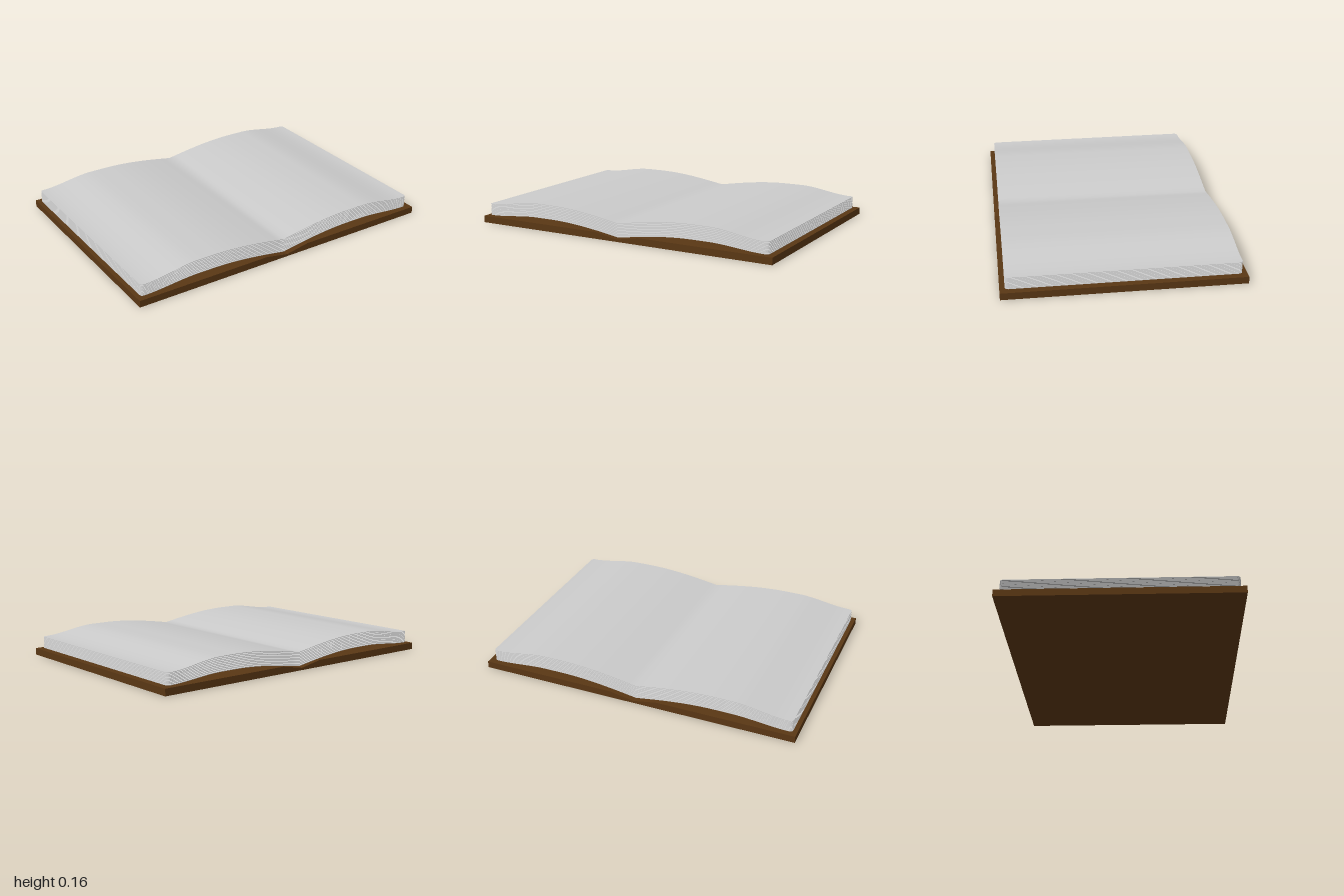
import * as THREE from 'three';

const SHEETS = 10, HALF_W = 0.97, HALF_D = 0.675, THICK = 0.003, CORNER = 0.02;

// Height of a sheet at distance a from the gutter; k = 0 lowest, 1 topmost
function pageHeight(a, k) {
  const lerp = THREE.MathUtils.lerp;
  const gutter = lerp(0.021, 0.104, k);
  const crown = lerp(0.073, 0.159, k);
  const edge = lerp(0.049, 0.118, k);
  if (a < 0.5) return gutter + (crown - gutter) * Math.sin(Math.PI * a);
  return lerp(crown, edge, THREE.MathUtils.smoothstep(a, 0.6, 0.95));
}

// Thin slab bent along x, with rounded outer corners
function sheetGeometry(k) {
  const geo = new THREE.BoxGeometry(2, THICK, 2 * HALF_D, 64, 1, 1);
  const p = geo.attributes.position;
  for (let i = 0; i < p.count; i++) {
    // columns crowd towards the fore-edge, where the corners curve
    const x = HALF_W * Math.sin(p.getX(i) * Math.PI / 2);
    const inset = Math.max(0, CORNER - (HALF_W - Math.abs(x)));
    const cut = CORNER - Math.sqrt(Math.max(0, CORNER * CORNER - inset * inset));
    p.setXYZ(i, x, p.getY(i) + pageHeight(Math.abs(x), k) - THICK / 2,
      Math.sign(p.getZ(i)) * (HALF_D - cut));
  }
  geo.computeVertexNormals();
  return geo;
}

export function createModel() {
  const book = new THREE.Group();
  book.name = 'openBook';

  // Flat cover with a shallow valley along the spine
  const profile = new THREE.Shape([
    [-1, 0], [1, 0], [1, 0.042], [0.15, 0.042], [0, 0.014], [-0.15, 0.042], [-1, 0.042],
  ].map(([x, y]) => new THREE.Vector2(x, y)));
  const coverGeo = new THREE.ExtrudeGeometry(profile, { depth: 1.41, bevelEnabled: false });
  coverGeo.translate(0, 0, -0.705);
  const cover = new THREE.Mesh(coverGeo, new THREE.MeshStandardMaterial({ color: 0x5a3714 }));
  cover.name = 'cover';
  book.add(cover);

  // Stack of separate bent sheets
  const pages = new THREE.Group();
  pages.name = 'pages';
  pages.position.x = -0.005;
  const paper = new THREE.MeshStandardMaterial({ color: 0xcccccc });
  for (let i = 0; i < SHEETS; i++) {
    const sheet = new THREE.Mesh(sheetGeometry(i / (SHEETS - 1)), paper);
    sheet.name = 'sheet' + (i + 1);
    pages.add(sheet);
  }
  book.add(pages);
  return book;
}
